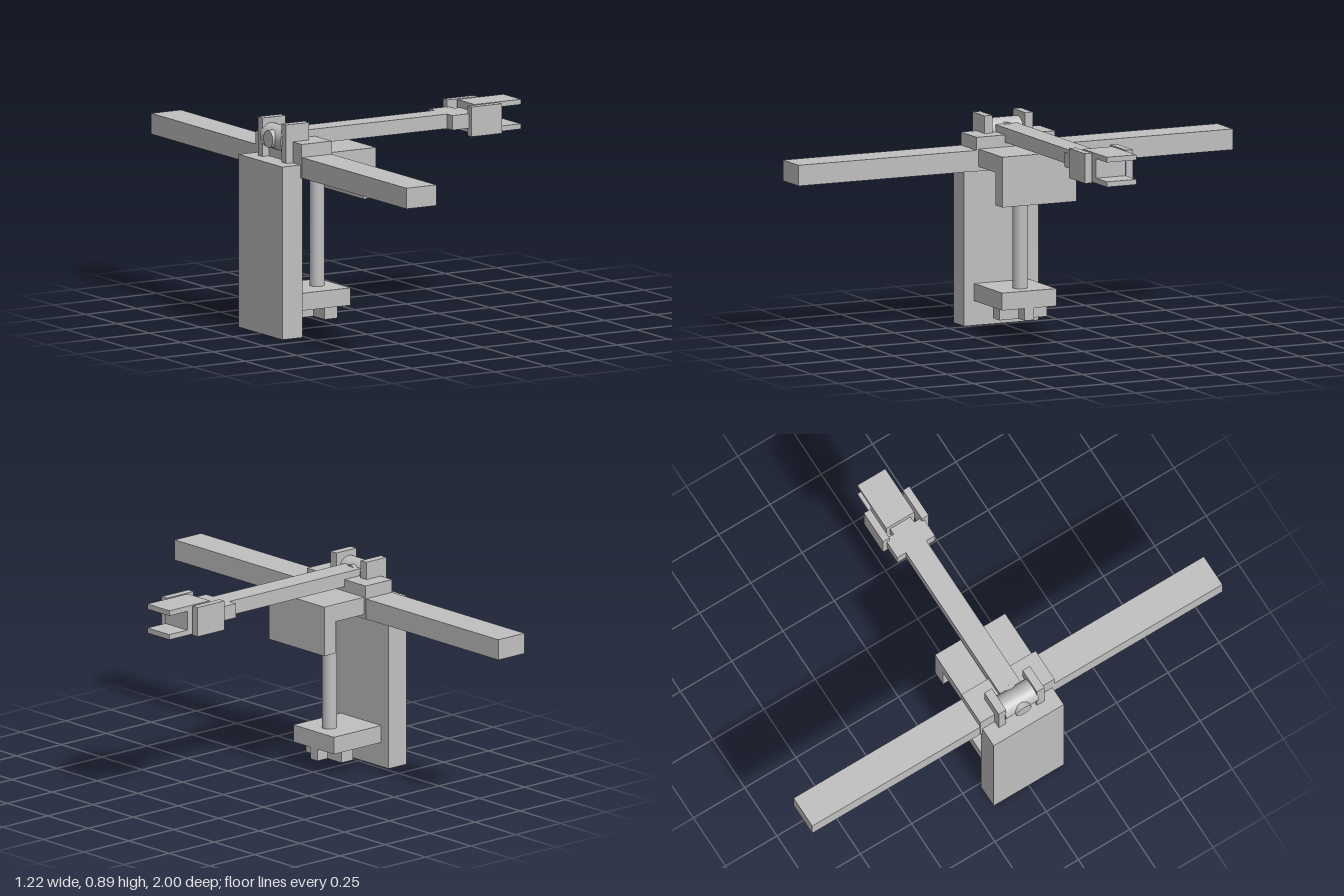
import * as THREE from 'three';

export function createModel() {
  const model = new THREE.Group();
  model.name = 'clampWithJointedArm';
  const grey = new THREE.MeshStandardMaterial({ color: 0xbfbfbf });
  grey.name = 'plainGrey';

  const add = (name, geometry, x, y, z) => {
    const mesh = new THREE.Mesh(geometry, grey);
    mesh.name = name;
    mesh.position.set(x, y, z);
    model.add(mesh);
    return mesh;
  };
  // box from its limits on each axis
  const box = (name, x0, x1, y0, y1, z0, z1) =>
    add(name, new THREE.BoxGeometry(x1 - x0, y1 - y0, z1 - z0),
      (x0 + x1) / 2, (y0 + y1) / 2, (z0 + z1) / 2);
  const rod = (name, radius, length, x, y, z) =>
    add(name, new THREE.CylinderGeometry(radius, radius, length, 32), x, y, z);

  // clamp frame: upright, top plate and hooked lip
  box('upright', -0.614, -0.515, 0, 0.726, -0.171, 0.171);
  const hook = new THREE.Shape([
    [-0.45, 0.69], [-0.22, 0.69], [-0.22, 0.553], [-0.158, 0.553],
    [-0.158, 0.764], [-0.45, 0.764],
  ].map(([x, y]) => new THREE.Vector2(x, y)));
  add('hook', new THREE.ExtrudeGeometry(hook, { depth: 0.342, bevelEnabled: false }), 0, 0, -0.171);

  // long crossbar and the saddle over it
  box('crossbar', -0.525, -0.38, 0.672, 0.759, -1, 1);
  box('saddle', -0.526, -0.379, 0.671, 0.814, -0.181, 0.181);

  // screw, pressure plate and cross-shaped handle
  rod('screw', 0.031, 0.515, -0.34, 0.4325, 0);
  box('pressurePlate', -0.515, -0.253, 0.103, 0.176, -0.125, 0.125);
  box('handleLong', -0.371, -0.309, 0.052, 0.104, -0.11, 0.11);
  box('handleShort', -0.427, -0.254, 0.052, 0.104, -0.022, 0.022);

  // pivot: two cheeks, a roller and a pin along the arm
  for (const side of [-1, 1]) {
    box('pivotCheek', -0.558, -0.446, 0.715, 0.888, side * 0.093 - 0.018, side * 0.093 + 0.018);
  }
  rod('pivotRoller', 0.052, 0.16, -0.515, 0.813, 0).rotation.x = Math.PI / 2;
  rod('pivotPin', 0.037, 0.12, -0.517, 0.813, 0).rotation.z = Math.PI / 2;

  // arm with a widened end
  box('arm', -0.47, 0.39, 0.783, 0.844, -0.05, 0.05);
  box('armEnd', 0.262, 0.358, 0.783, 0.844, -0.092, 0.092);

  // side plates and fork at the tip
  for (const side of [-1, 1]) {
    box('sidePlate', 0.343, 0.492, 0.75, 0.875, side * 0.095 - 0.016, side * 0.095 + 0.016);
    const y = 0.8125 + side * 0.0515;
    box('forkProng', 0.385, 0.61, y - 0.011, y + 0.011, -0.068, 0.068);
  }
  box('forkBlock', 0.385, 0.51, 0.77, 0.855, -0.068, 0.068);
  return model;
}
